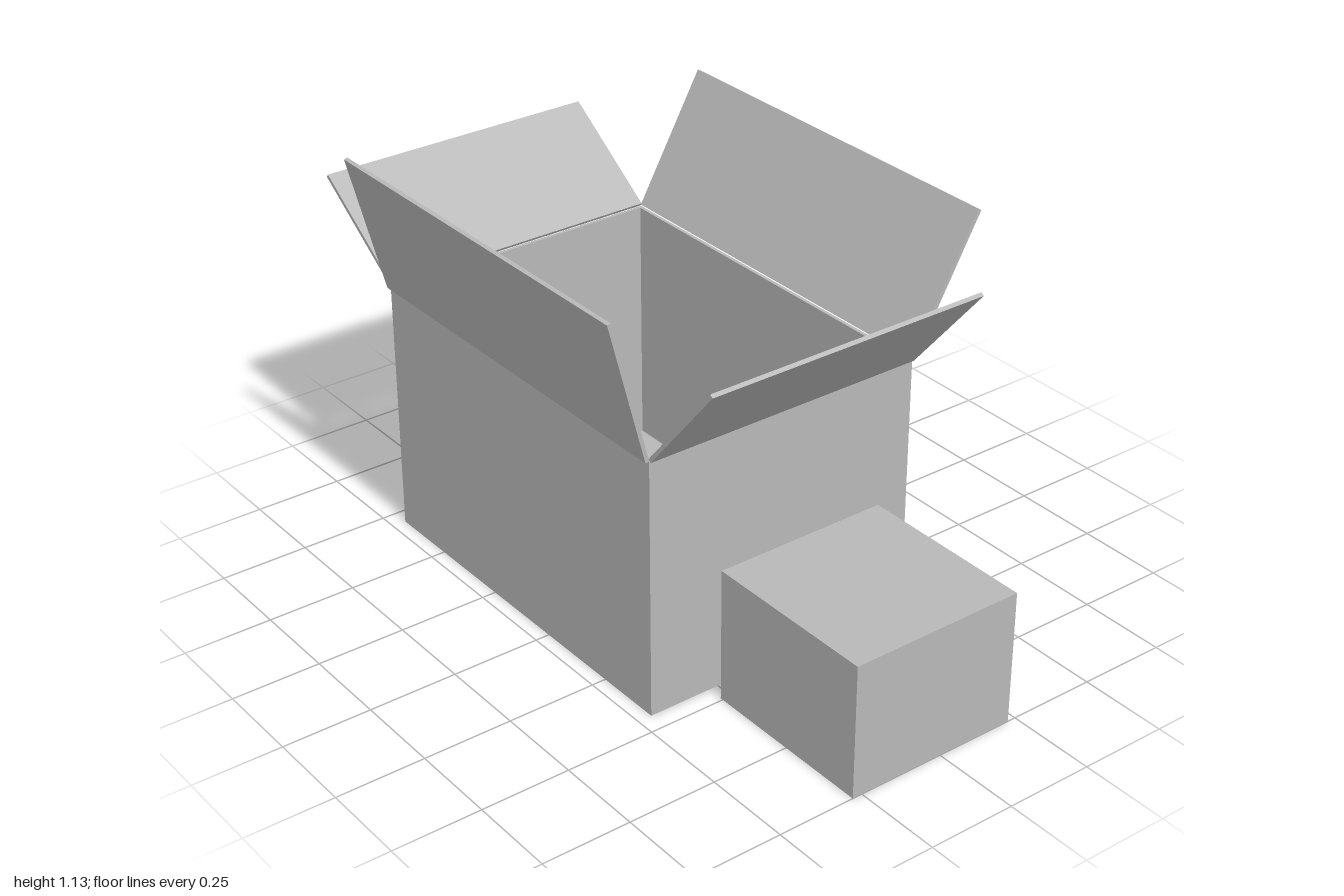
import * as THREE from 'three';

export function createModel() {
  const model = new THREE.Group();
  model.name = 'openCartonAndSmallBox';
  const card = new THREE.MeshStandardMaterial({ color: 0xb8b8b8 });
  card.name = 'cardGrey';

  // Box given by its lower and upper limits on each axis
  const block = (name, [x0, x1], [y0, y1], [z0, z1]) => {
    const mesh = new THREE.Mesh(new THREE.BoxGeometry(x1 - x0, y1 - y0, z1 - z0), card);
    mesh.position.set((x0 + x1) / 2, (y0 + y1) / 2, (z0 + z1) / 2);
    mesh.name = name;
    model.add(mesh);
    return mesh;
  };

  const X0 = -0.698, X1 = 0.445, Z0 = -0.364, Z1 = 0.46, H = 0.732, T = 0.01;

  // Carton: floor and four thin walls, open at the top
  block('cartonFloor', [X0, X1], [0, T], [Z0, Z1]);
  block('cartonFront', [X0, X1], [T, H], [Z1 - T, Z1]);
  block('cartonBack', [X0, X1], [T, H], [Z0, Z0 + T]);
  block('cartonRight', [X0, X0 + T], [T, H], [Z0 + T, Z1 - T]);
  block('cartonLeft', [X1 - T, X1], [T, H], [Z0 + T, Z1 - T]);

  // Flap hinged on a rim: axis it leans along, start and end of its centre line
  const flap = (name, axis, [a0, y0], [a1, y1]) => {
    const length = Math.hypot(a1 - a0, y1 - y0);
    const angle = Math.atan2(y1 - y0, a1 - a0);
    const a = (a0 + a1) / 2, y = (y0 + y1) / 2;
    const alongX = axis === 'x';
    const mesh = new THREE.Mesh(
      alongX
        ? new THREE.BoxGeometry(length, 0.011, Z1 - Z0)
        : new THREE.BoxGeometry(X1 - X0, 0.011, length), card);
    if (alongX) {
      mesh.position.set(a, y, (Z0 + Z1) / 2);
      mesh.rotation.z = angle;
    } else {
      mesh.position.set((X0 + X1) / 2, y, a);
      mesh.rotation.x = -angle;
    }
    mesh.name = name;
    model.add(mesh);
  };
  flap('rightFlap', 'x', [X0, 0.736], [-0.997, 0.945]);
  flap('leftFlap', 'x', [X1 + 0.002, 0.736], [0.681, 1.014]);
  flap('frontFlap', 'z', [Z1 + 0.005, 0.733], [0.569, 1.132]);
  flap('backFlap', 'z', [Z0 - 0.004, 0.733], [-0.57, 1.09]);

  // Thin strip on the back wall
  block('backStrip', [-0.26, 0.012], [0.277, 0.32], [Z0 - 0.003, Z0]);

  // Closed small box beside the carton
  block('smallBox', [0.492, 1], [0, 0.38], [-0.226, 0.278]);

  return model;
}
